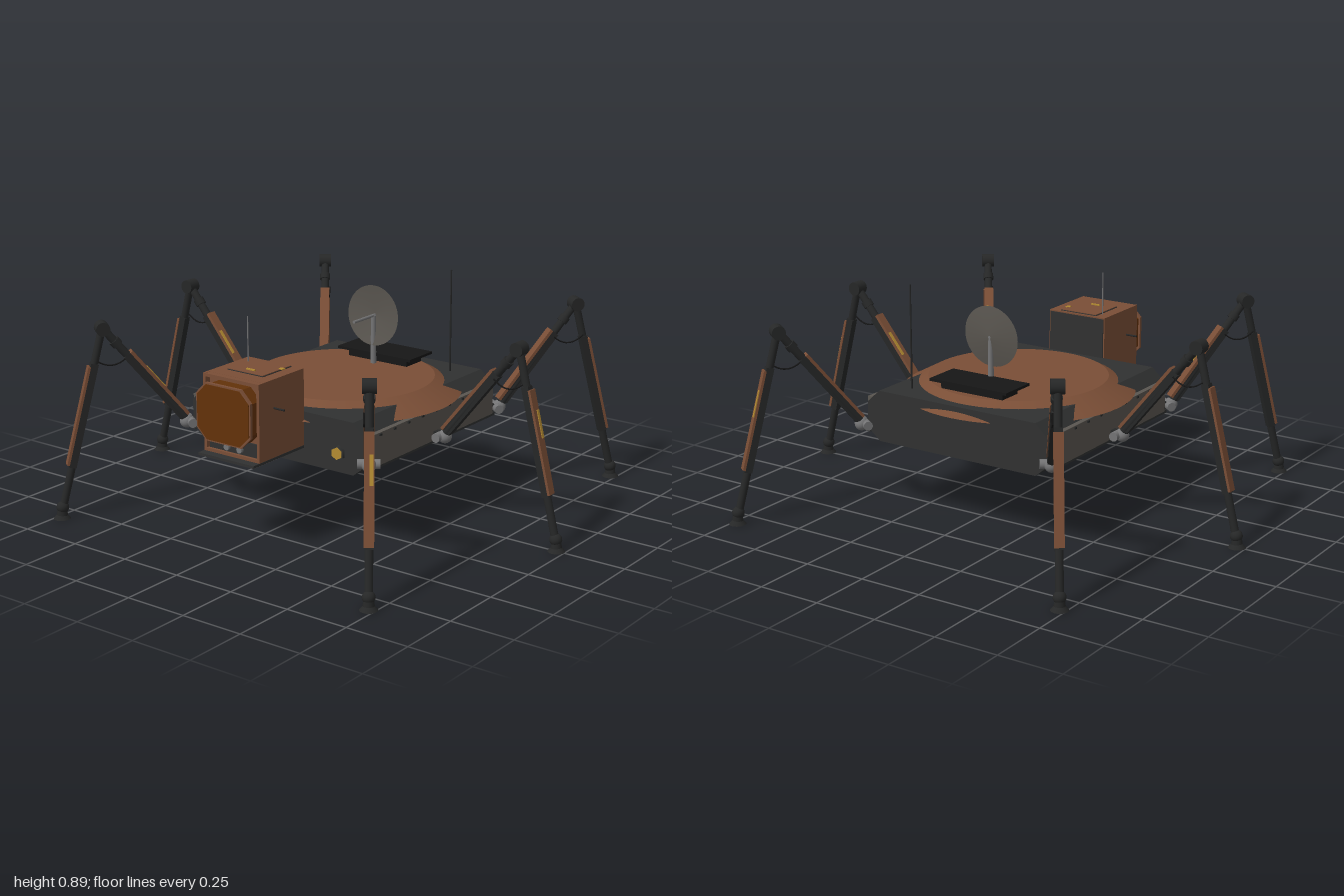
import * as THREE from 'three';

const mat = (name, color, double) => {
  const m = new THREE.MeshStandardMaterial({ color });
  m.name = name;
  if (double) m.side = THREE.DoubleSide;
  return m;
};
const M = {
  brown: mat('brown armour', 0x7a4e36),
  rust: mat('rust muzzle', 0x633209),
  dark: mat('dark hull', 0x303131),
  leg: mat('leg black', 0x262727),
  black: mat('grille black', 0x161616),
  taupe: mat('taupe panel', 0x5a5650, true),
  gold: mat('gold', 0xb38b32),
  grey: mat('grey metal', 0x747475),
};

function add(parent, name, geo, material, x = 0, y = 0, z = 0) {
  const m = new THREE.Mesh(geo, material);
  m.name = name;
  m.position.set(x, y, z);
  parent.add(m);
  return m;
}
const box = (w, h, d) => new THREE.BoxGeometry(w, h, d);
const cyl = (rt, rb, h, n = 16) => new THREE.CylinderGeometry(rt, rb, h, n);

// Prism along z from a list of [x, y] corners
function prism(points, depth) {
  const shape = new THREE.Shape(points.map(p => new THREE.Vector2(...p)));
  return new THREE.ExtrudeGeometry(shape, { depth, bevelEnabled: false });
}

// Part lying along the line a to b in the leg plane; t0..t1 is the covered range
function limb(parent, name, a, b, t0, t1, makeGeo, material, offset = 0, side = 0) {
  const d = new THREE.Vector2().subVectors(b, a), len = d.length();
  const u = d.clone().normalize(), t = (t0 + t1) / 2;
  const m = add(parent, name, makeGeo(len * (t1 - t0)), material,
    a.x + d.x * t - u.y * offset, a.y + d.y * t + u.x * offset, side);
  m.rotation.z = Math.atan2(u.y, u.x) - Math.PI / 2;
}

function makeLeg(name, x, z, angle, upperMark, lowerMark) {
  const g = new THREE.Group();
  g.name = name;
  g.position.set(x, 0, z);
  g.rotation.y = -angle;
  const hip = new THREE.Vector2(0.01, 0.345), knee = new THREE.Vector2(0.33, 0.742);
  const ankle = new THREE.Vector2(0.502, 0.06);
  // Hip joint
  add(g, 'hipBall', new THREE.SphereGeometry(0.027, 16, 12), M.grey, 0.015, 0.345);
  add(g, 'hipAxle', cyl(0.018, 0.018, 0.085), M.grey, 0.0, 0.345).rotation.x = Math.PI / 2;
  add(g, 'hipArm', box(0.07, 0.03, 0.03), M.leg, -0.03, 0.345);
  // Upper leg with its armour
  limb(g, 'thigh', hip, knee, 0, 1, h => cyl(0.015, 0.018, h), M.leg);
  limb(g, 'thighSleeve', hip, knee, 0.06, 0.72, h => box(0.034, h, 0.032), M.leg);
  limb(g, 'thighArmour', hip, knee, 0.05, 0.72, h => box(0.012, h, 0.038), M.brown, 0.02);
  limb(g, 'thighCollar', hip, knee, 0.82, 0.87, h => cyl(0.021, 0.021, h), M.leg);
  if (upperMark) limb(g, 'thighMark', hip, knee, 0.34, 0.55, h => box(0.004, h, 0.013), M.gold, 0.027, -0.01);
  // Knee
  add(g, 'knee', cyl(0.027, 0.027, 0.05, 20), M.leg, 0.33, 0.74).rotation.x = Math.PI / 2;
  // Lower leg with its armour
  limb(g, 'shinRod', knee, ankle, 0, 1, h => cyl(0.015, 0.015, h), M.leg);
  limb(g, 'shinSleeve', knee, ankle, 0.2, 0.79, h => box(0.03, h, 0.03), M.leg);
  limb(g, 'shinArmour', knee, ankle, 0.22, 0.78, h => box(0.01, h, 0.036), M.brown, 0.018);
  if (lowerMark) limb(g, 'shinMark', knee, ankle, 0.33, 0.48, h => box(0.004, h, 0.013), M.gold, 0.024, -0.008);
  // Ankle and foot
  add(g, 'ankle', new THREE.SphereGeometry(0.024, 16, 12), M.leg, 0.508, 0.045);
  add(g, 'ankleSleeve', cyl(0.018, 0.022, 0.035), M.leg, 0.511, 0.025);
  add(g, 'foot', cyl(0.02, 0.033, 0.016, 20), M.leg, 0.512, 0.008);
  // Slack cable behind the knee
  const cable = new THREE.QuadraticBezierCurve3(
    new THREE.Vector3(0.235, 0.615, 0.018), new THREE.Vector3(0.295, 0.56, 0.018),
    new THREE.Vector3(0.36, 0.615, 0.018));
  add(g, 'cable', new THREE.TubeGeometry(cable, 12, 0.003, 6), M.black);
  return g;
}

function makeBody() {
  const g = new THREE.Group();
  g.name = 'body';
  // Hull with chamfered flanks
  const half = [[0.355, 0.285], [0.41, 0.33], [0.41, 0.435], [0.355, 0.487]];
  const hull = [...half, ...half.map(([x, y]) => [-x, y]).reverse()];
  add(g, 'hull', prism(hull, 0.85), M.dark, 0, 0, -0.425);
  // Saucer deck
  add(g, 'deck', cyl(0.35, 0.455, 0.057, 64), M.brown, 0, 0.4785);
  add(g, 'bellyDrum', cyl(0.162, 0.162, 0.05, 40), M.grey, 0, 0.263);
  for (const s of [-1, 1]) {
    // Flank panels with a row of rivets
    add(g, 'flankPanel', box(0.02, 0.125, 0.8), M.taupe, s * 0.418, 0.385);
    add(g, 'flankSill', box(0.02, 0.012, 0.84), M.dark, s * 0.415, 0.318);
    for (let i = 0; i < 9; i++)
      add(g, 'rivet', box(0.008, 0.008, 0.012), M.leg, s * 0.429, 0.44, -0.36 + i * 0.09);
    // Front lamps
    add(g, 'lampHousing', cyl(0.029, 0.029, 0.014, 6), M.dark, s * 0.29, 0.36, 0.43).rotation.x = Math.PI / 2;
    add(g, 'lamp', cyl(0.024, 0.024, 0.006, 6), M.gold, s * 0.29, 0.36, 0.438).rotation.x = Math.PI / 2;
  }
  return g;
}

function makeHead() {
  const g = new THREE.Group();
  g.name = 'head';
  add(g, 'headBox', box(0.26, 0.295, 0.235), M.brown, 0, 0.505, 0.5425);
  add(g, 'headBack', box(0.25, 0.285, 0.006), M.dark, 0, 0.505, 0.424);
  // Open frame around the muzzle
  for (const s of [-1, 1]) {
    add(g, 'cheek', box(0.012, 0.295, 0.025), M.brown, s * 0.124, 0.505, 0.672);
    add(g, 'sidePin', cyl(0.004, 0.004, 0.05, 8), M.leg, s * 0.153, 0.545, 0.6).rotation.z = Math.PI / 2;
    add(g, 'frontSensor', cyl(0.012, 0.012, 0.012), M.grey, s * 0.03, 0.386, 0.675).rotation.x = Math.PI / 2;
  }
  add(g, 'brow', box(0.26, 0.012, 0.025), M.brown, 0, 0.646, 0.672);
  add(g, 'chinRecess', box(0.236, 0.055, 0.008), M.dark, 0, 0.39, 0.664);
  add(g, 'chinPlate', box(0.26, 0.01, 0.295), M.dark, 0, 0.352, 0.5725);
  add(g, 'chinLip', box(0.26, 0.012, 0.012), M.brown, 0, 0.363, 0.68);
  // Octagonal muzzle
  const oct = (w, h, c) => [[w, -h + c], [w, h - c], [w - c, h], [c - w, h],
    [-w, h - c], [-w, c - h], [c - w, -h], [w - c, -h]];
  add(g, 'muzzle', prism(oct(0.118, 0.104, 0.045), 0.07), M.rust, 0, 0.525, 0.66);
  add(g, 'muzzleRim', prism(oct(0.126, 0.11, 0.045), 0.012), M.brown, 0, 0.525, 0.717);
  add(g, 'muzzleFace', prism(oct(0.12, 0.104, 0.043), 0.004), M.rust, 0, 0.525, 0.728);
  // Roof hatch
  add(g, 'hatchSeam', box(0.166, 0.004, 0.166), M.dark, 0, 0.653, 0.52);
  add(g, 'hatch', box(0.16, 0.006, 0.16), M.brown, 0, 0.654, 0.52);
  add(g, 'hatchHandle', box(0.04, 0.006, 0.008), M.gold, 0, 0.659, 0.57);
  add(g, 'hatchMark', box(0.018, 0.004, 0.018), M.gold, 0.08, 0.657, 0.49);
  add(g, 'headAntenna', cyl(0.002, 0.003, 0.175, 8), M.grey, -0.09, 0.738, 0.475);
  return g;
}

function makeDish() {
  const g = new THREE.Group();
  g.name = 'dishAssembly';
  // Deck grille
  add(g, 'grille', box(0.35, 0.01, 0.155), M.black, 0, 0.542, -0.268);
  add(g, 'grilleBase', box(0.28, 0.04, 0.1), M.black, 0, 0.52, -0.268);
  // Dish on a post with a forward feed rod
  add(g, 'post', cyl(0.01, 0.012, 0.2), M.grey, 0, 0.6, -0.19);
  const profile = [[0, 0], [0.06, 0.004], [0.12, 0.014]].map(p => new THREE.Vector2(...p));
  const dish = add(g, 'dish', new THREE.LatheGeometry(profile, 40), M.taupe, 0, 0.7, -0.2);
  dish.rotation.x = Math.PI / 2 - 0.06;
  add(g, 'feedRod', cyl(0.006, 0.006, 0.14, 10), M.grey, 0, 0.7, -0.13).rotation.x = Math.PI / 2;
  return g;
}

export function createModel() {
  const root = new THREE.Group();
  root.name = 'sixLeggedWalker';
  root.add(makeBody(), makeHead(), makeDish());
  add(root, 'tallAntenna', cyl(0.003, 0.004, 0.41, 8), M.leg, 0.27, 0.69, -0.33);
  // Three legs on each side
  for (const s of [-1, 1]) {
    const side = s > 0 ? 'left' : 'right';
    for (const [place, k] of [['Front', 1], ['Middle', 0], ['Back', -1]]) {
      const angle = Math.atan2(k * 0.809, s * 0.588 * Math.abs(k) + s * (1 - Math.abs(k)));
      root.add(makeLeg(side + place + 'Leg', s * (k ? 0.425 : 0.455), k * 0.425, angle, k >= 0, s > 0));
    }
  }
  return root;
}
